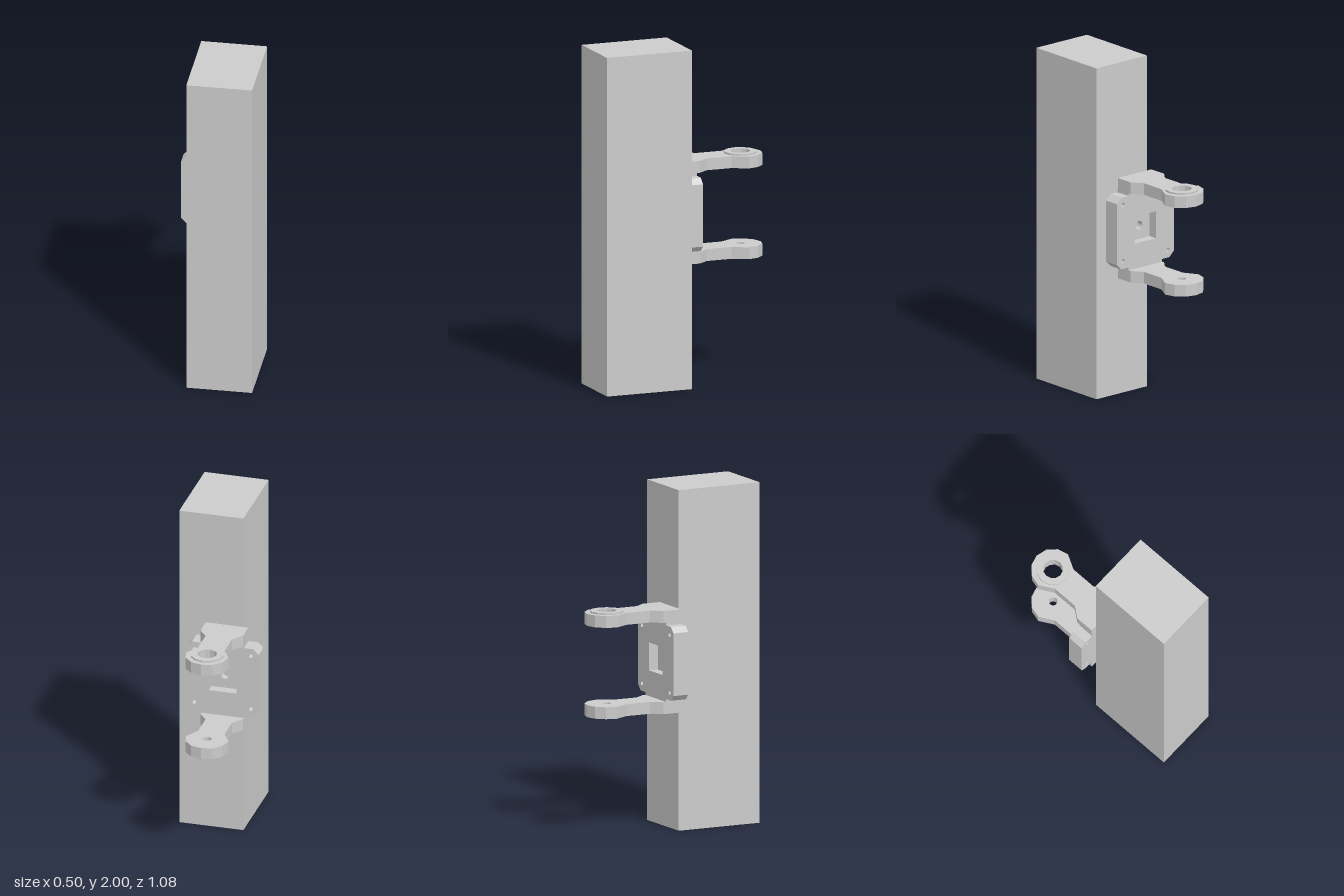
import * as THREE from 'three';

const CX = -0.0375;      // centre line of the bracket
const PIN_Z = -0.412;    // axis of the pin holes
const material = new THREE.MeshStandardMaterial({ color: 0xcccccc, flatShading: true });

// Points of a regular polygon, used for outlines and holes
function ring(x, y, r, n) {
  return Array.from({ length: n }, (_, i) => {
    const a = (i / n) * Math.PI * 2;
    return new THREE.Vector2(x + r * Math.cos(a), y + r * Math.sin(a));
  });
}

function extrude(points, holes, depth) {
  const shape = new THREE.Shape(points);
  holes.forEach((h) => shape.holes.push(new THREE.Path(h)));
  return new THREE.ExtrudeGeometry(shape, { depth, bevelEnabled: false });
}

function part(parent, name, geometry) {
  const mesh = new THREE.Mesh(geometry, material);
  mesh.name = name;
  parent.add(mesh);
  return mesh;
}

// Horizontal slab: outline given as (x, -z), standing from y0 to y1
function slab(parent, name, points, holes, y0, y1) {
  const geometry = extrude(points, holes, y1 - y0);
  geometry.rotateX(-Math.PI / 2).translate(CX, y0, 0);
  return part(parent, name, geometry);
}

// Arm outline: wide root, tapered neck and a twelve-sided eye
function armOutline() {
  const side = [[0.128, -0.005], [0.128, 0.107], [0.08, 0.17], [0.08, 0.325]];
  const eye = [];
  for (let i = 0; i <= 6; i++) {
    const a = (i * Math.PI) / 6;
    eye.push([0.128 * Math.cos(a), -PIN_Z + 0.128 * Math.sin(a)]);
  }
  const mirrored = side.map(([x, y]) => [-x, y]).reverse();
  return [...side, ...eye, ...mirrored].map(([x, y]) => new THREE.Vector2(x, y));
}

// Vertical plate layer between two z values
function plateLayer(parent, name, centreHole, z0, z1) {
  const h = 0.2165, c = 0.184;
  const outline = [[h, -c], [h, c], [c, h], [-c, h], [-h, c], [-h, -c], [-c, -h], [c, -h]]
    .map(([x, y]) => new THREE.Vector2(x, y));
  const holes = [centreHole];
  for (const sx of [-1, 1]) for (const sy of [-1, 1]) holes.push(ring(sx * 0.17, sy * 0.17, 0.013, 16));
  part(parent, name, extrude(outline, holes, z1 - z0).translate(CX, 1.003, z0));
}

export function createModel() {
  const model = new THREE.Group();
  model.name = 'postWithHingeBracket';

  // Square post
  part(model, 'post', new THREE.BoxGeometry(0.385, 2, 0.53)).position.set(0.0585, 1, 0.273);

  const bracket = new THREE.Group();
  bracket.name = 'hingeBracket';
  model.add(bracket);

  // Mounting plate with a square pocket and a bolt hole in its floor
  const p = 0.082;
  const pocket = [[-p, -p], [p, -p], [p, p], [-p, p]].map(([x, y]) => new THREE.Vector2(x, y));
  plateLayer(bracket, 'plateFloor', ring(0, 0, 0.026, 20), -0.033, 0.007);
  plateLayer(bracket, 'platePocketRim', pocket, -0.09, -0.033);

  // Arms, with a wide bushing hole above and a narrow pin hole below
  const pinHole = (r, n) => ring(0, -PIN_Z, r, n);
  slab(bracket, 'upperArm', armOutline(), [pinHole(0.057, 12)], 1.236, 1.306);
  slab(bracket, 'lowerArm', armOutline(), [pinHole(0.025, 20)], 0.7, 0.77);

  // Blocks joining the arms to the plate
  for (const [name, y] of [['upperArmRoot', 1.2275], ['lowerArmRoot', 0.7785]]) {
    part(bracket, name, new THREE.BoxGeometry(0.256, 0.018, 0.096)).position.set(CX, y, -0.042);
  }

  // Raised collars around the holes
  slab(bracket, 'upperCollar', pinHole(0.097, 12), [pinHole(0.057, 12)], 1.306, 1.316);
  slab(bracket, 'lowerCollar', pinHole(0.065, 12), [pinHole(0.036, 12)], 0.69, 0.7);

  return model;
}
